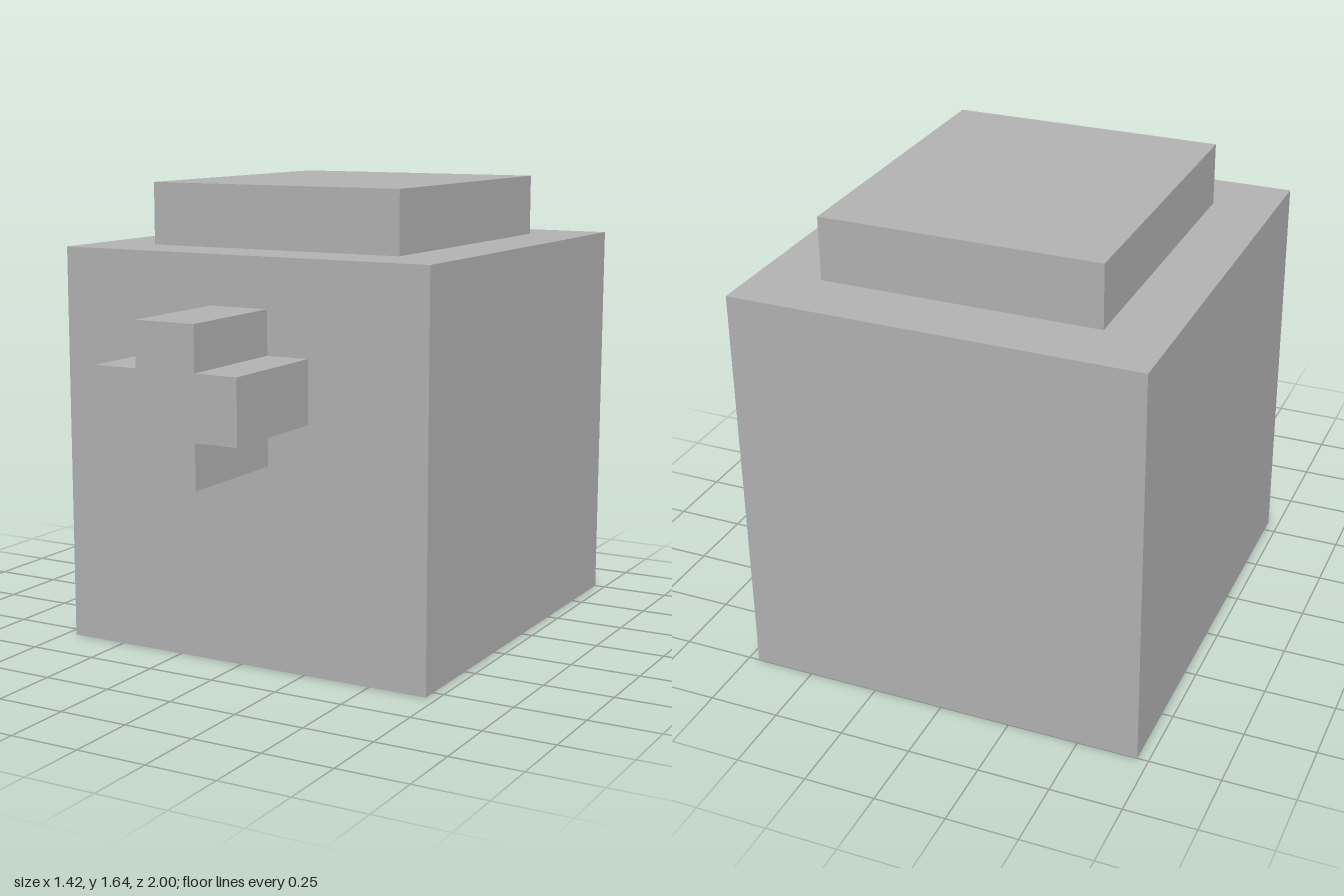
import * as THREE from 'three';

export function createModel() {
  const model = new THREE.Group();
  const grey = new THREE.MeshStandardMaterial({ color: 0xb2b2b2, flatShading: true });
  grey.name = 'grey';

  const add = (name, geometry, x, y, z) => {
    const mesh = new THREE.Mesh(geometry, grey);
    mesh.name = name;
    mesh.position.set(x, y, z);
    model.add(mesh);
  };

  // Main block and the raised slab on its top
  add('body', new THREE.BoxGeometry(1.422, 1.422, 1.556), 0, 0.711, -0.222);
  add('topSlab', new THREE.BoxGeometry(0.978, 0.222, 1.111), 0, 1.533, -0.222);

  // Cross-shaped peg on the front
  const a = 0.111, b = 0.267;
  const cross = new THREE.Shape([
    [a, -b], [a, -a], [b, -a], [b, a], [a, a], [a, b],
    [-a, b], [-a, a], [-b, a], [-b, -a], [-a, -a], [-a, -b],
  ].map(([x, y]) => new THREE.Vector2(x, y)));
  const peg = new THREE.ExtrudeGeometry(cross, { depth: 0.444, bevelEnabled: false });
  add('crossPeg', peg, 0, 0.98, 0.556);

  return model;
}
